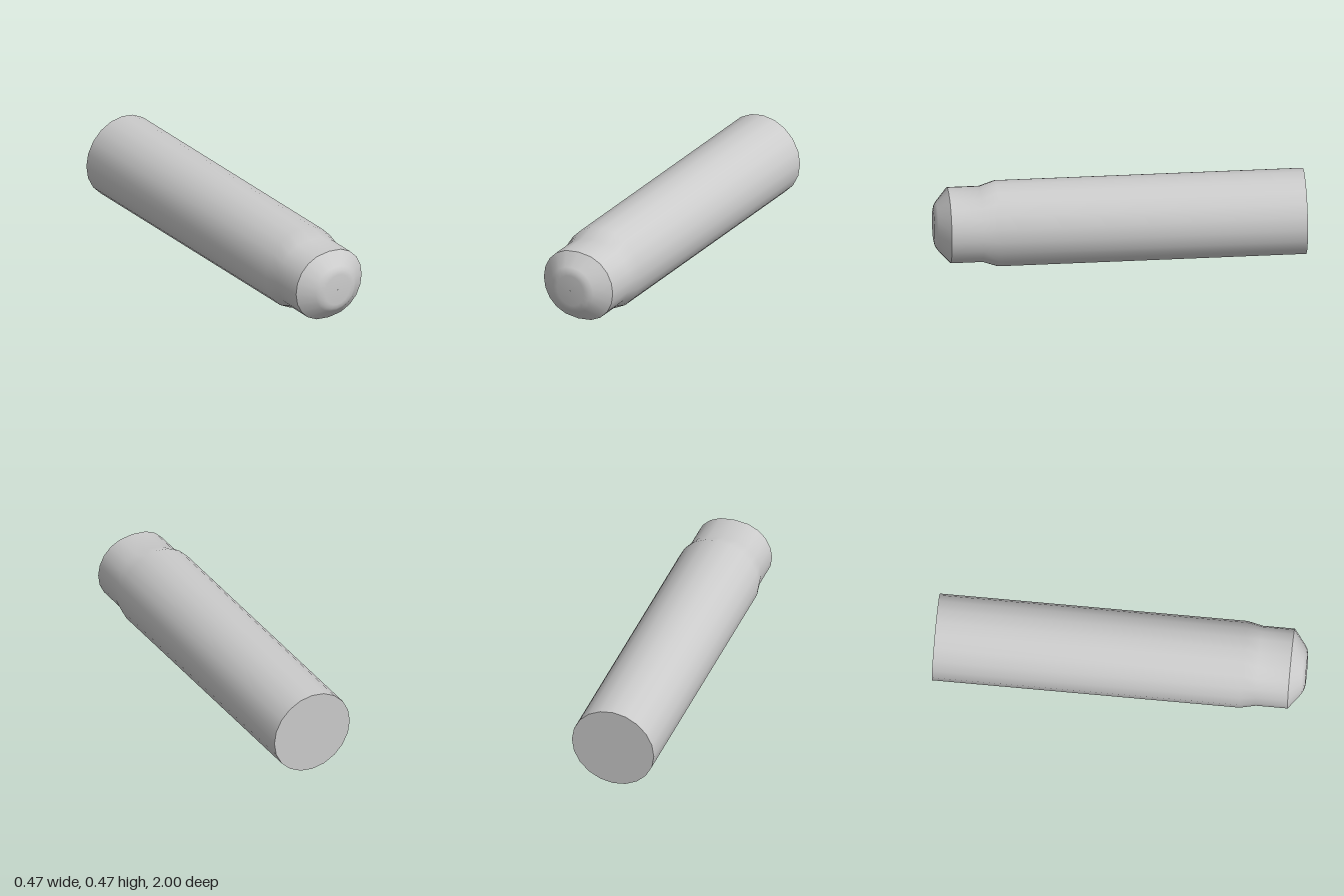
import * as THREE from 'three';

const SIDES = 20;
const CENTER_Y = 0.235;

// Skins rings of [z, halfWidth, halfHeight, power] running from back to front.
// A power below 1 makes the ring slightly fuller across its width.
function loft(name, rings, material) {
  const pos = [], index = [];
  for (const [z, rx, ry, power] of rings) {
    for (let i = 0; i < SIDES; i++) {
      const a = (i / SIDES) * Math.PI * 2;
      const c = Math.cos(a);
      const x = Math.abs(c) < 1e-6 ? 0 : Math.sign(c) * Math.abs(c) ** power;
      pos.push(rx * x, CENTER_Y + ry * Math.sin(a), z);
    }
  }
  for (let r = 0; r < rings.length - 1; r++) {
    for (let i = 0; i < SIDES; i++) {
      const j = (i + 1) % SIDES;
      const a = r * SIDES + i, b = r * SIDES + j;
      index.push(a, b, b + SIDES, a, b + SIDES, a + SIDES);
    }
  }
  const geometry = new THREE.BufferGeometry();
  geometry.setAttribute('position', new THREE.Float32BufferAttribute(pos, 3));
  geometry.setIndex(index);
  geometry.computeVertexNormals();
  const mesh = new THREE.Mesh(geometry, material);
  mesh.name = name;
  return mesh;
}

export function createModel() {
  const group = new THREE.Group();
  group.name = 'roundedRod';
  const material = new THREE.MeshStandardMaterial({ color: 0xcccccc });
  const R = 0.234;

  // Long barrel, sloping shoulder and narrower neck
  group.add(loft('barrel', [
    [-1, R, R, 1],
    [0.66, R, R, 1],
    [0.745, 0.216, 0.197, 0.85],
    [0.917, 0.216, 0.197, 0.85],
  ], material));

  // Blunt rounded nose, meeting the neck at a hard edge
  group.add(loft('nose', [
    [0.917, 0.216, 0.197, 0.85],
    [0.982, 0.133, 0.13, 0.95],
    [0.994, 0.112, 0.112, 1],
    [1, 0.083, 0.088, 1],
    [1, 0.001, 0.001, 1],
  ], material));

  // Flat disc closing the back
  const cap = new THREE.Mesh(new THREE.CircleGeometry(R, SIDES), material);
  cap.name = 'rearCap';
  cap.rotation.y = Math.PI;
  cap.position.set(0, CENTER_Y, -1);
  group.add(cap);

  return group;
}
